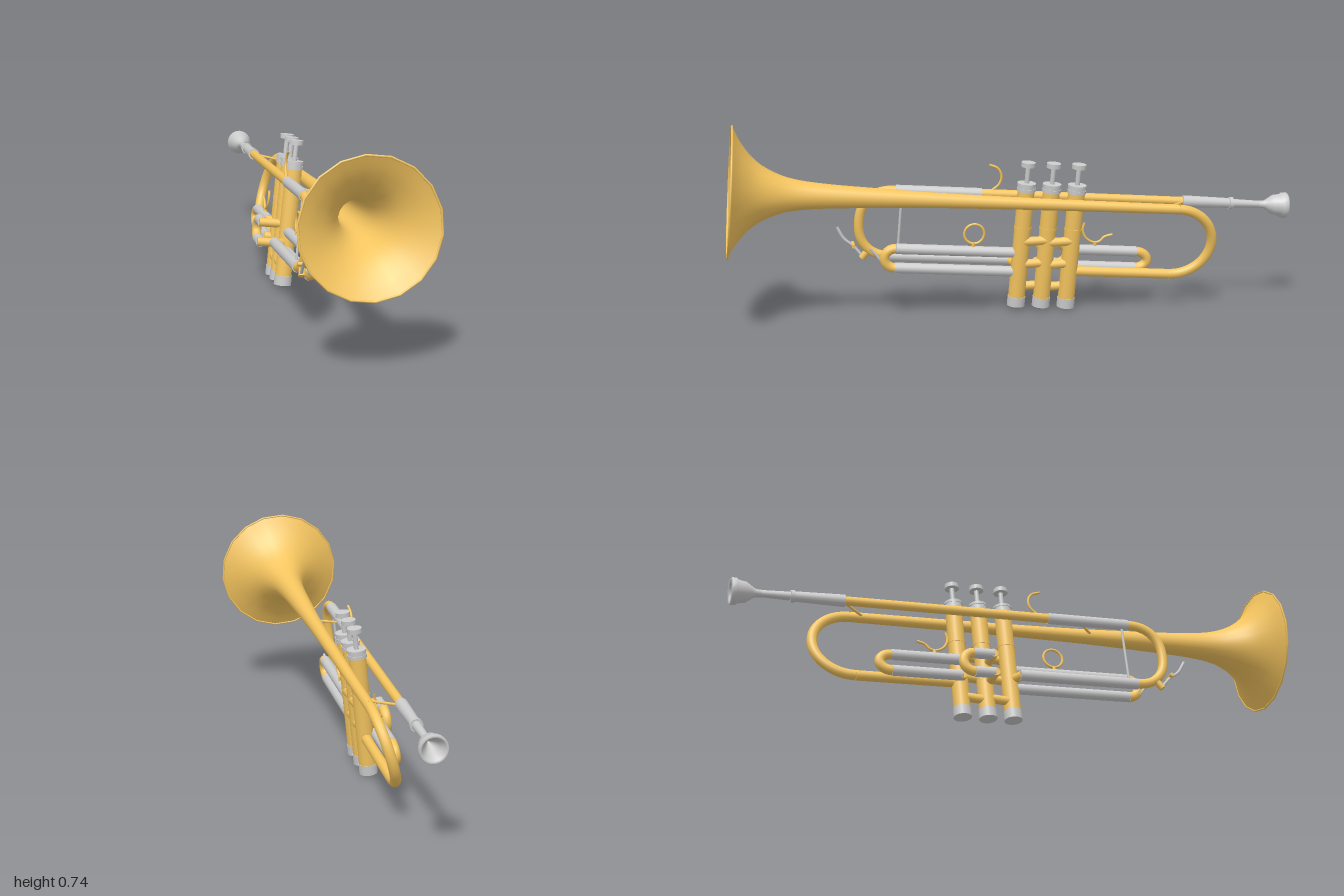
import * as THREE from 'three';

const V = (x, y, z) => new THREE.Vector3(x, y, z);
const brass = new THREE.MeshStandardMaterial({ color: 0xf5c55f });
const brassOpen = new THREE.MeshStandardMaterial({ color: 0xf5c55f, side: THREE.DoubleSide });
const silver = new THREE.MeshStandardMaterial({ color: 0xcccccc });

// Heights and depths of the main pipes, measured across the instrument
const LEAD_Y = 0.145, LEAD_Z = 0.03, BELL_Y = 0.14, BELL_Z = -0.07, VALVE_Z = -0.02;

export function createModel() {
  const model = new THREE.Group();
  model.name = 'trumpet';
  // Local frame: x runs from mouthpiece to bell, y along the valves
  const horn = new THREE.Group();
  horn.name = 'horn';
  model.add(horn);

  const add = (name, geometry, material, parent = horn) => {
    const mesh = new THREE.Mesh(geometry, material);
    mesh.name = name;
    parent.add(mesh);
    return mesh;
  };

  // Straight closed pipe between two points
  const rod = (name, a, b, r, material, r2 = r, sides = 14) => {
    const mesh = add(name, new THREE.CylinderGeometry(r2, r, a.distanceTo(b), sides), material);
    mesh.position.copy(a).add(b).multiplyScalar(0.5);
    mesh.quaternion.setFromUnitVectors(V(0, 1, 0), b.clone().sub(a).normalize());
    return mesh;
  };

  // Smooth pipe through a few points
  const pipe = (name, points, r, material, steps = 28, sides = 10) =>
    add(name, new THREE.TubeGeometry(new THREE.CatmullRomCurve3(points), steps, r, sides), material);

  // Return bend from a to b, bulging along x
  const bend = (name, a, b, bulge, r, power = 1) => {
    const points = [];
    for (let i = 0; i <= 16; i++) {
      const t = (i / 16) * Math.PI;
      const c = Math.cos(t);
      const p = a.clone().lerp(b, 0.5 - 0.5 * Math.sign(c) * Math.abs(c) ** power);
      p.x += bulge * Math.max(0, Math.sin(t)) ** power;
      points.push(p);
    }
    return pipe(name, points, r, brassOpen, 36, 12);
  };

  // Turned part along x from [x, radius] pairs
  const turned = (name, profile, y, z, material, sides) => {
    const points = new THREE.SplineCurve(profile.map(([x, r]) => new THREE.Vector2(r, x))).getPoints(40);
    const mesh = add(name, new THREE.LatheGeometry(points, sides), material);
    mesh.rotation.z = -Math.PI / 2;
    mesh.position.set(0, y, z);
    return mesh;
  };

  // Bell, its rolled rim and the big rear bow
  turned('bell', [[-0.7, 0.019], [-0.2, 0.022], [0.2, 0.028], [0.45, 0.037], [0.64, 0.046], [0.76, 0.06],
    [0.84, 0.087], [0.9, 0.125], [0.95, 0.182], [0.985, 0.243]], BELL_Y, BELL_Z, brassOpen, 18);
  const rim = add('bellRim', new THREE.TorusGeometry(0.241, 0.004, 6, 18), brass);
  rim.rotation.y = Math.PI / 2;
  rim.position.set(0.984, BELL_Y, BELL_Z);
  bend('bellBow', V(-0.7, BELL_Y, BELL_Z), V(-0.7, -0.134, VALVE_Z), -0.15, 0.019);
  rod('bellBowLowerPipe', V(-0.7, -0.134, VALVE_Z), V(-0.31, -0.134, VALVE_Z), 0.019, brass);

  // Mouthpiece: cup, throat and shank
  const cup = [[-1.08, 0.003], [-1.13, 0.026], [-1.153, 0.04], [-1.158, 0.046], [-1.152, 0.05], [-1.135, 0.049],
    [-1.13, 0.043], [-1.1, 0.038], [-1.08, 0.024], [-1.065, 0.015], [-1.045, 0.014]];
  const cupMesh = add('mouthpieceCup', new THREE.LatheGeometry(cup.map(([x, r]) => new THREE.Vector2(r, x)), 20),
    new THREE.MeshStandardMaterial({ color: 0xcccccc, side: THREE.DoubleSide }));
  cupMesh.rotation.z = -Math.PI / 2;
  cupMesh.position.set(0, LEAD_Y, LEAD_Z);
  const along = (name, x0, x1, r, material, r2) =>
    rod(name, V(x0, LEAD_Y, LEAD_Z), V(x1, LEAD_Y, LEAD_Z), r, material, r2);
  along('mouthpieceShank', -1.05, -0.92, 0.013, silver, 0.017);
  along('mouthpieceCollar', -0.94, -0.925, 0.023, silver);
  along('mouthpieceReceiver', -0.925, -0.74, 0.019, silver, 0.023);

  // Leadpipe and main tuning slide
  along('leadpipe', -0.74, 0.06, 0.017, brass, 0.018);
  along('tuningSlideUpperSleeve', 0.045, 0.37, 0.021, silver);
  bend('tuningBow', V(0.37, LEAD_Y, LEAD_Z), V(0.37, -0.112, LEAD_Z), 0.13, 0.018, 0.85);
  rod('tuningSlideLowerSleeve', V(-0.09, -0.112, LEAD_Z), V(0.38, -0.112, LEAD_Z), 0.021, silver);
  rod('tuningSlidePort', V(-0.115, -0.112, VALVE_Z), V(-0.08, -0.112, LEAD_Z), 0.018, brass);

  // Valve slides: x at the valve, x at the bow, bow bulge, heights, depth
  const slides = [
    ['firstSlide', -0.31, -0.575, -0.045, -0.06, -0.125, 0.02],
    ['secondSlide', -0.2, -0.275, -0.04, -0.053, -0.13, 0.065],
    ['thirdSlide', -0.115, 0.36, 0.04, -0.068, -0.143, VALVE_Z],
  ];
  for (const [name, x0, x1, bulge, yTop, yLow, z] of slides) {
    for (const y of [yTop, yLow]) {
      rod(name + 'Pipe', V(x0, y, z), V(x1, y, z), 0.02, silver);
      if (z !== VALVE_Z) rod(name + 'Port', V(x0, y, VALVE_Z), V(x0, y, z + 0.014), 0.017, brass);
    }
    bend(name + 'Bow', V(x1, yTop, z), V(x1, yLow, z), bulge, 0.0185);
  }

  // Three valves with caps, stems and finger buttons
  const parts = [
    ['valveCasing', -0.245, 0.185, 0.032, brass], ['casingBand', 0.028, 0.036, 0.0335, brass],
    ['bottomCap', -0.277, -0.24, 0.034, silver], ['topCapLowerRing', 0.175, 0.188, 0.0355, silver],
    ['topCap', 0.188, 0.197, 0.033, silver], ['topCapUpperRing', 0.197, 0.207, 0.0355, silver],
    ['valveStem', 0.205, 0.275, 0.009, silver], ['fingerButton', 0.27, 0.287, 0.027, silver],
  ];
  const valveX = [-0.309, -0.212, -0.115];
  for (const x of valveX) {
    for (const [name, y0, y1, r, material] of parts)
      rod(name, V(x, y0, VALVE_Z), V(x, y1, VALVE_Z), r, material, r, 18);
  }
  // Short knuckles joining neighbouring valves
  for (const x of valveX.slice(0, 2)) {
    for (const [y, z] of [[-0.01, -0.035], [-0.1, -0.03], [-0.195, -0.01]])
      rod('valveKnuckle', V(x, y, z), V(x + 0.097, y - 0.01, z), 0.017, brass);
  }

  // Braces between bell and leadpipe, and inside the tuning slide
  rod('frontBrace', V(0.27, BELL_Y, BELL_Z), V(0.17, LEAD_Y, LEAD_Z), 0.005, brass, 0.005, 8);
  rod('rearBrace', V(-0.64, BELL_Y, BELL_Z), V(-0.75, LEAD_Y, LEAD_Z), 0.005, brass, 0.005, 8);
  rod('tuningSlideBrace', V(0.346, -0.11, LEAD_Z), V(0.346, LEAD_Y, LEAD_Z), 0.005, silver, 0.005, 8);

  // Finger hook on the leadpipe
  pipe('fingerHook', [V(0.01, 0.155, LEAD_Z), V(-0.02, 0.185, LEAD_Z), V(-0.026, 0.215, LEAD_Z),
    V(-0.01, 0.245, LEAD_Z), V(0.025, 0.258, LEAD_Z)], 0.005, brass, 20, 8);

  // Finger ring on the third slide
  add('fingerRing', new THREE.TorusGeometry(0.038, 0.005, 8, 24), brass).position.set(0.068, 0.0, VALVE_Z);
  rod('fingerRingPost', V(0.068, -0.06, VALVE_Z), V(0.068, -0.036, VALVE_Z), 0.007, brass);

  // Open thumb saddle on the first slide
  const saddle = [V(-0.475, 0.005, 0.02), V(-0.445, -0.005, 0.02), V(-0.425, -0.025, 0.02), V(-0.4, -0.028, 0.02),
    V(-0.37, -0.01, 0.02), V(-0.357, 0.02, 0.02), V(-0.362, 0.05, 0.02)];
  pipe('thumbSaddle', saddle, 0.005, brass, 24, 8);
  rod('thumbSaddlePost', V(-0.41, -0.055, 0.02), V(-0.41, -0.026, 0.02), 0.007, brass);

  // Water key on the tuning bow
  pipe('waterKeyLever', [V(0.58, -0.01, 0.045), V(0.55, -0.055, 0.042), V(0.515, -0.08, 0.04),
    V(0.475, -0.122, 0.035)], 0.006, silver, 16, 8);
  rod('waterKeyPad', V(0.48, -0.125, 0.033), V(0.455, -0.088, 0.03), 0.013, brass);
  rod('waterKeyPivot', V(0.515, -0.075, 0.01), V(0.515, -0.075, 0.06), 0.007, brass);
  // Small water key on the third slide
  pipe('thirdSlideKeyLever', [V(0.455, -0.075, -0.005), V(0.43, -0.1, -0.005), V(0.4, -0.135, -0.01)],
    0.005, silver, 12, 8);

  // Pose: turned sideways, bell slightly raised, valves leaning
  const x = V(0.829, 0.066, 0.555).normalize();
  const z = x.clone().cross(V(0.007, 0.992, -0.129)).normalize();
  const y = z.clone().cross(x);
  horn.quaternion.setFromRotationMatrix(new THREE.Matrix4().makeBasis(x, y, z));
  horn.position.set(0, 0.3, 0);
  return model;
}
